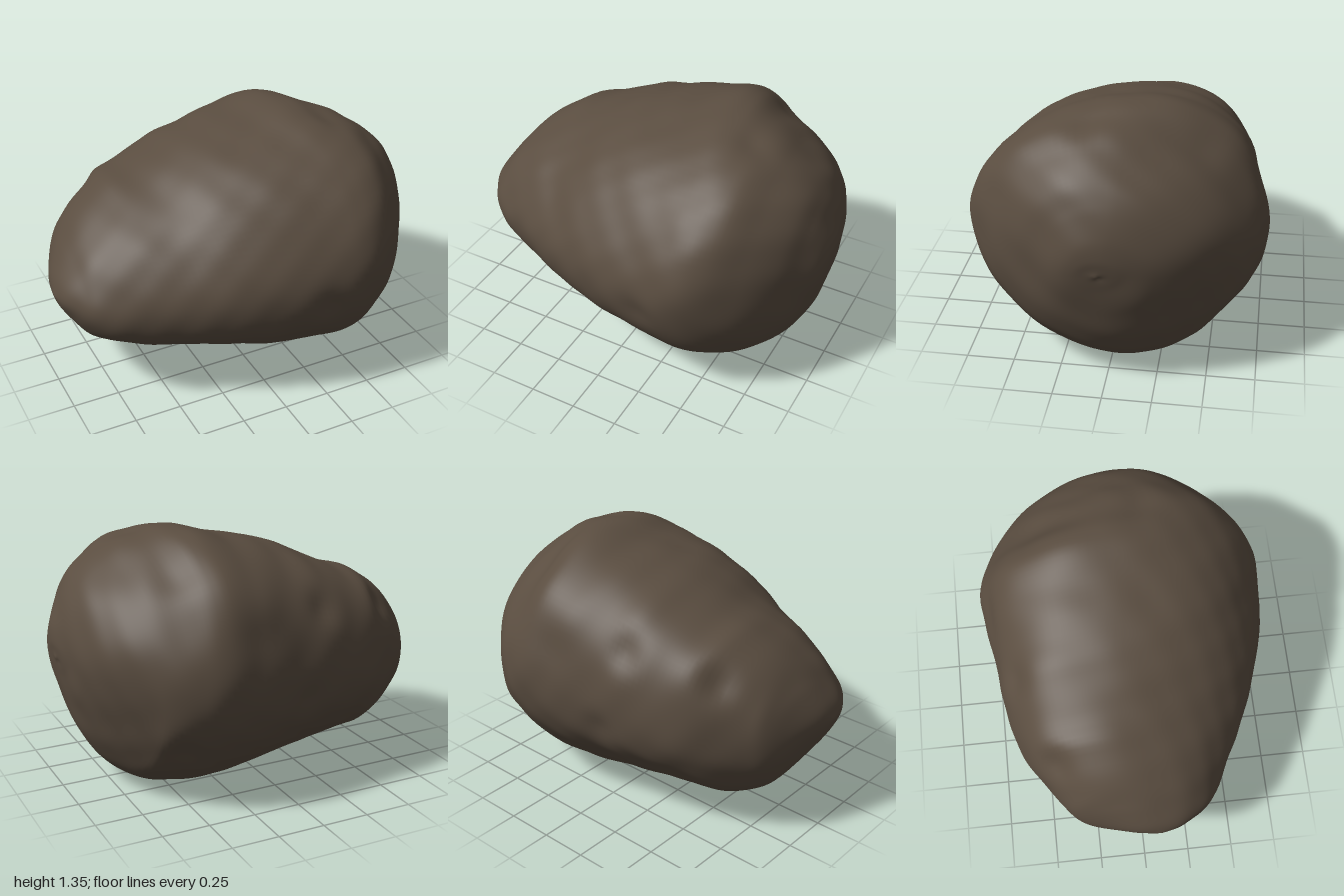
import * as THREE from 'three';

// Stations along x: [x, top y, bottom y, back z, front z]
const STATIONS = [
  [-1, 0.6, 0.6, 0.07, 0.07],
  [-0.97, 0.68, 0.52, -0.09, 0.19],
  [-0.9, 0.785, 0.385, -0.32, 0.31],
  [-0.8, 0.89, 0.265, -0.43, 0.4],
  [-0.6, 1.015, 0.175, -0.57, 0.5],
  [-0.4, 1.08, 0.14, -0.645, 0.59],
  [-0.2, 1.18, 0.1, -0.695, 0.67],
  [0, 1.245, 0.06, -0.72, 0.73],
  [0.2, 1.29, 0.03, -0.76, 0.76],
  [0.4, 1.335, 0.005, -0.775, 0.765],
  [0.55, 1.32, 0.015, -0.745, 0.715],
  [0.7, 1.225, 0.06, -0.67, 0.595],
  [0.82, 1.12, 0.16, -0.55, 0.45],
  [0.9, 1.005, 0.29, -0.43, 0.32],
  [0.96, 0.87, 0.45, -0.28, 0.21],
  [0.99, 0.77, 0.6, -0.13, 0.11],
  [1, 0.69, 0.69, 0, 0],
];

// Broad shoulders (+) and worn flats (-): [facing x, y, z, amount]
const FACETS = [
  [-0.35, 0.87, -0.35, 0.047],
  [-0.16, 0.65, -0.68, 0.05],
  [0.76, 0.57, 0.3, 0.055],
  [0.35, 0.87, -0.35, -0.05],
  [0.32, 0.52, -0.74, -0.035],
  [0.75, -0.3, -0.5, -0.06],
  [-0.3, 0.57, 0.76, -0.03],
  [-0.35, -0.87, -0.35, 0.05],
  [-0.35, -0.87, 0.35, -0.04],
  [0.05, -0.74, -0.65, -0.03],
  [0, -0.4, -0.9, 0.02],
].map(([x, y, z, amount]) => ({ facing: new THREE.Vector3(x, y, z).normalize(), amount }));

// Dents: [x, y, z, radius, depth]
const DENTS = [
  [0.25, 0.57, 0.75, 0.12, 0.02],
  [0.05, 1.24, 0.1, 0.2, 0.015],
  [0.55, 1.28, 0.1, 0.12, 0.02],
  [0.5, 1.15, -0.45, 0.14, 0.02],
  [0.22, 0.88, -0.68, 0.15, 0.02],
  [-0.2, 0.95, -0.6, 0.13, 0.03],
  [-0.65, 0.85, -0.42, 0.12, 0.03],
  [-0.1, 0.55, -0.7, 0.12, 0.02],
  [0.55, 0.32, -0.58, 0.13, 0.025],
];

// Uneven stone surface: slow swells plus finer ripples
function swell(p) {
  const { x, y, z } = p;
  return 0.005 * Math.sin(5.1 * x + 3.3 * y + 1.2) * Math.sin(5.7 * z - 2.9 * y + 0.4)
    + 0.004 * Math.sin(11 * y + 6 * z + 2 * x) * Math.sin(10 * x - 7 * z + 1.7)
    + 0.0025 * Math.sin(23 * x + 9 * z) * Math.sin(21 * y - 15 * z);
}

function rockGeometry(rings = 112, sides = 112) {
  const heights = new THREE.CatmullRomCurve3(
    STATIONS.map(([x, top, bottom]) => new THREE.Vector3(x, top, bottom)), false, 'catmullrom', 0.5);
  const depths = new THREE.CatmullRomCurve3(
    STATIONS.map(([x, , , back, front]) => new THREE.Vector3(x, back, front)), false, 'catmullrom', 0.5);
  const points = [];
  const indices = [];

  // Closed rings, each joined from four elliptical quarters around the core line
  for (let i = 1; i < rings; i++) {
    const h = heights.getPoint(i / rings);
    const d = depths.getPoint(i / rings);
    const cy = THREE.MathUtils.lerp(h.z, h.y, 0.51);
    const cz = THREE.MathUtils.lerp(d.y, d.z, 0.48);
    for (let j = 0; j < sides; j++) {
      const a = (j / sides) * Math.PI * 2;
      const c = Math.cos(a), s = Math.sin(a);
      const y = cy + s * (s > 0 ? h.y - cy : cy - h.z);
      const z = cz + c * (c > 0 ? d.z - cz : cz - d.y);
      points.push(new THREE.Vector3(h.x, y, z));
    }
  }
  const ringAt = (i, j) => i * sides + (j % sides);
  for (let i = 0; i < rings - 2; i++) {
    for (let j = 0; j < sides; j++) {
      const a = ringAt(i, j), b = ringAt(i, j + 1);
      const c = ringAt(i + 1, j), d = ringAt(i + 1, j + 1);
      indices.push(a, c, b, b, c, d);
    }
  }

  // Close both tips
  const startTip = points.length, endTip = startTip + 1;
  points.push(new THREE.Vector3(-1, 0.6, 0.07), new THREE.Vector3(1, 0.69, 0));
  for (let j = 0; j < sides; j++) {
    indices.push(startTip, ringAt(0, j), ringAt(0, j + 1));
    indices.push(endTip, ringAt(rings - 2, j + 1), ringAt(rings - 2, j));
  }

  const geometry = new THREE.BufferGeometry().setFromPoints(points);
  geometry.setIndex(indices);
  geometry.computeVertexNormals();

  // Shift areas by the way they face, then press in dents and roughness
  const position = geometry.attributes.position;
  const normal = new THREE.Vector3();
  points.forEach((p, i) => {
    normal.fromBufferAttribute(geometry.attributes.normal, i);
    let offset = swell(p);
    for (const [x, y, z, radius, depth] of DENTS) {
      const dist2 = (p.x - x) ** 2 + (p.y - y) ** 2 + (p.z - z) ** 2;
      offset -= depth * Math.exp(-dist2 / (radius * radius * 0.5));
    }
    p.addScaledVector(normal, offset);
    for (const { facing, amount } of FACETS) {
      p.addScaledVector(facing, amount * Math.exp(9 * (normal.dot(facing) - 1)));
    }
    position.setXYZ(i, p.x, p.y, p.z);
  });

  // Centre the stone and stand it on the ground
  geometry.center();
  geometry.translate(0, -geometry.boundingBox.min.y, 0);
  geometry.computeVertexNormals();
  return geometry;
}

export function createModel() {
  const group = new THREE.Group();
  group.name = 'boulder';
  const stone = new THREE.MeshStandardMaterial({ color: 0x5a4d40 });
  stone.name = 'brown stone';
  const rock = new THREE.Mesh(rockGeometry(), stone);
  rock.name = 'rock';
  group.add(rock);
  return group;
}
